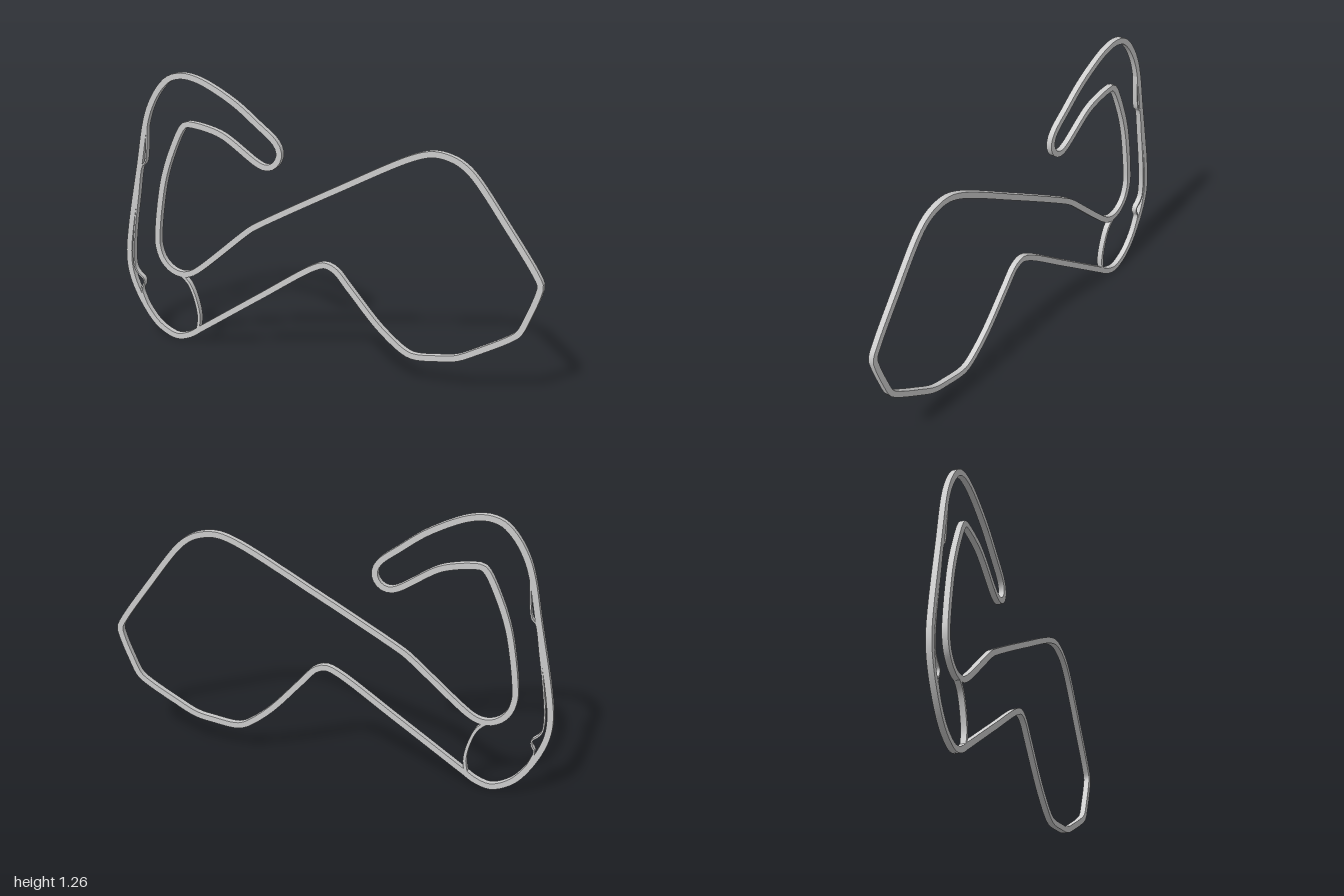
import * as THREE from 'three';
import { toCreasedNormals } from 'three/addons/utils/BufferGeometryUtils.js';

const DEPTH = 0.026;

// Centre line of the closed circuit, as x, y pairs
const CIRCUIT = [
  // lower straight and far loop
  -.741, .014, -.676, .032, -.618, .07, -.313, .275, -.045, .452, .008, .471, .056, .455,
  .126, .38, .275, .219, .393, .131, .436, .12, .543, .131, .628, .147, .73, .198,
  .864, .275, .901, .305, .939, .385, .976, .481, .986, .529, .965, .572, .837, .754,
  .687, .952, .634, .997, .586, 1.019, .511, 1.03, .425, 1.008,
  // upper straight and inner bend
  .061, .818, -.324, .604, -.356, .583, -.634, .348, -.676, .326, -.719, .321, -.767, .337,
  -.81, .38, -.832, .449, -.829, .529, -.81, .668, -.789, .77, -.751, .882,
  // hairpin
  -.693, 1.005, -.671, 1.027, -.639, 1.029, -.564, 1.019, -.484, .995, -.313, .888,
  -.275, .877, -.238, .888, -.211, .925, -.211, .963, -.233, 1.0, -.313, 1.064,
  // top bend and outer straight
  -.43, 1.15, -.58, 1.225, -.65, 1.243, -.698, 1.243, -.751, 1.225, -.805, 1.171,
  -.853, 1.086, -.88, 1.0, -.912, .829, -.971, .519, -.987, .385, -.981, .305,
  -.955, .225, -.901, .128, -.848, .064, -.794, .029,
];

// Thin lane running inside the outer straight, with a kink at each end
const PIT_LANE = [
  -.869, 1.03, -.874, .92, -.883, .838, -.89, .822, -.902, .812, -.928, .668, -.954, .492,
  -.963, .385, -.957, .316, -.938, .289, -.914, .267, -.914, .243, -.927, .219, -.912, .171,
  -.88, .107,
];

// Short arc joining the inner bend to the lower straight
const LINK_ROAD = [-.719, .321, -.676, .283, -.644, .214, -.626, .128, -.634, .062];

// Offsets a smooth centre line to both sides and extrudes the band between them
function makeRoad(name, coords, width, segments, closed, material) {
  const points = [];
  for (let i = 0; i < coords.length; i += 2) {
    points.push(new THREE.Vector3(coords[i], coords[i + 1], 0));
  }
  const curve = new THREE.CatmullRomCurve3(points, closed, 'centripetal');
  curve.arcLengthDivisions = 1000;

  const left = [], right = [];
  const count = closed ? segments : segments + 1;
  for (let i = 0; i < count; i++) {
    const p = curve.getPointAt(i / segments);
    const t = curve.getTangentAt(i / segments);
    const dx = -t.y * width / 2, dy = t.x * width / 2;
    left.push(new THREE.Vector2(p.x + dx, p.y + dy));
    right.push(new THREE.Vector2(p.x - dx, p.y - dy));
  }

  let shape;
  if (closed) {
    shape = new THREE.Shape(right);
    shape.holes.push(new THREE.Path(left));
  } else {
    shape = new THREE.Shape([...right, ...left.reverse()]);
  }

  const geometry = new THREE.ExtrudeGeometry(shape, { depth: DEPTH, bevelEnabled: false });
  geometry.translate(0, 0, -DEPTH / 2);
  const mesh = new THREE.Mesh(toCreasedNormals(geometry, Math.PI / 5), material);
  mesh.name = name;
  return mesh;
}

export function createModel() {
  const group = new THREE.Group();
  group.name = 'raceTrack';
  const material = new THREE.MeshStandardMaterial({ color: 0xcccccc });
  group.add(
    makeRoad('circuit', CIRCUIT, 0.027, 360, true, material),
    makeRoad('pitLane', PIT_LANE, 0.007, 90, false, material),
    makeRoad('linkRoad', LINK_ROAD, 0.014, 24, false, material),
  );
  return group;
}
